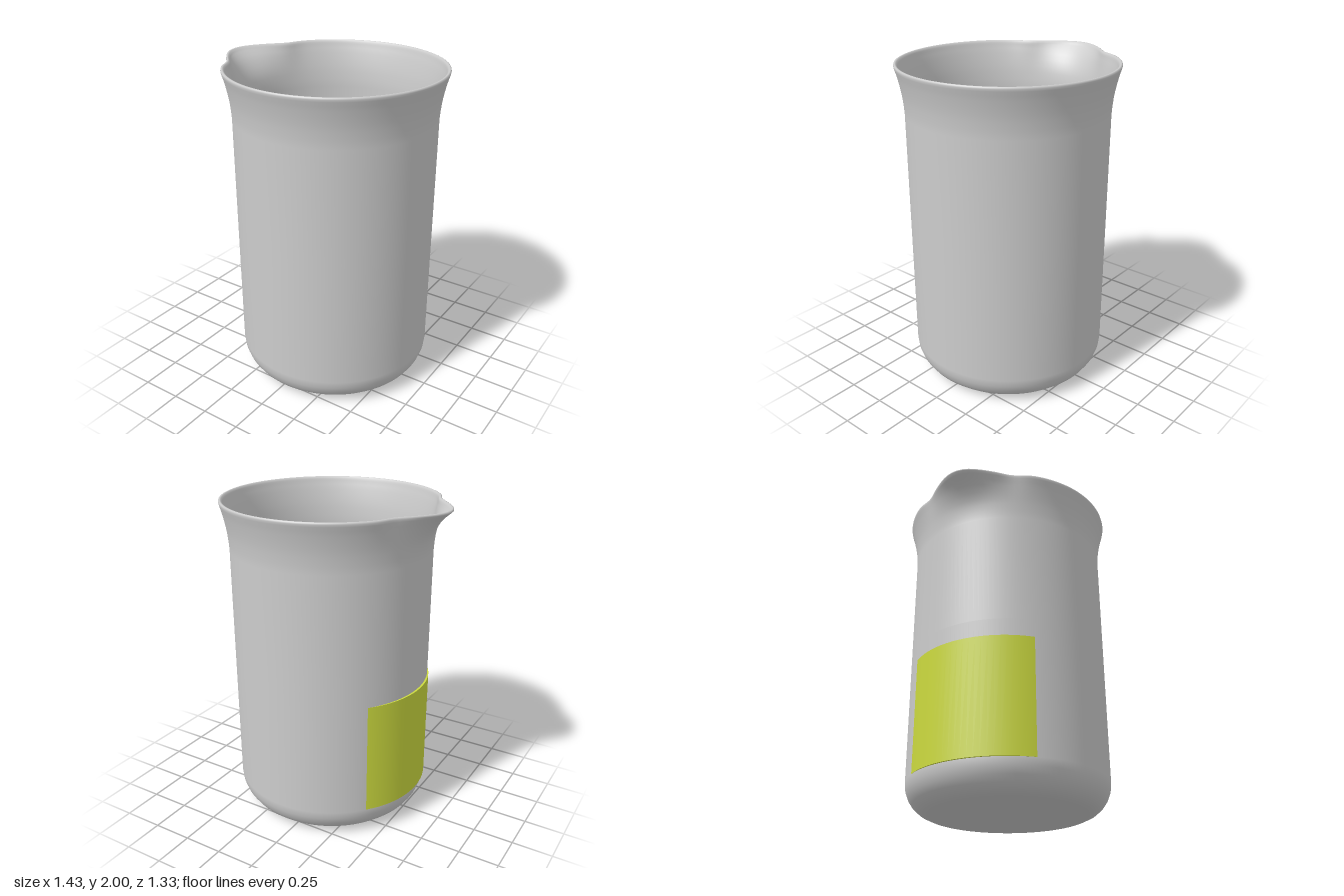
import * as THREE from 'three';
import { mergeVertices } from 'three/addons/utils/BufferGeometryUtils.js';

const CENTER_X = 0.05;

// Closed wall profile: underside, outer wall, rolled rim, inner wall, floor
function wallProfile() {
  const pts = [[0, 0], [0.25, 0], [0.44, 0]];
  const fillet = (cx, cy, rx, ry, from, to) => {
    for (let i = 0; i <= 6; i++) {
      const a = THREE.MathUtils.lerp(from, to, i / 6);
      pts.push([cx + rx * Math.cos(a), cy + ry * Math.sin(a)]);
    }
  };
  fillet(0.456, 0.18, 0.16, 0.18, -Math.PI / 2, 0);
  const flare = [[1.0, 0], [1.7, 0], [1.75, 0.003], [1.8, 0.008], [1.84, 0.014], [1.88, 0.022], [1.92, 0.031], [1.95, 0.039], [1.975, 0.047]];
  flare.forEach(([y, d]) => pts.push([0.616 + d, y]));
  pts.push([0.666, 1.988], [0.664, 1.997], [0.657, 2], [0.649, 1.997], [0.643, 1.985]);
  flare.slice().reverse().forEach(([y, d]) => pts.push([0.595 + d, y]));
  fillet(0.445, 0.18, 0.15, 0.155, 0, -Math.PI / 2);
  pts.push([0.25, 0.025], [0, 0.025]);
  return pts.map(([r, y]) => new THREE.Vector2(r, y));
}

// Pull the rim outward on the -x side to form the pouring spout
function addSpout(geometry) {
  const p = geometry.attributes.position;
  for (let i = 0; i < p.count; i++) {
    const x = p.getX(i), y = p.getY(i), z = p.getZ(i);
    const r = Math.hypot(x, z);
    if (y <= 1.72 || r === 0) continue;
    const angle = THREE.MathUtils.radToDeg(Math.abs(Math.atan2(z, -x)));
    const lift = Math.pow(Math.min((y - 1.72) / 0.27, 1), 2.7);
    const bump = 0.1 * Math.exp(-((angle / 15.4) ** 2)) - 0.018 * Math.exp(-(((angle - 27) / 7) ** 2));
    const k = (r + bump * lift) / r;
    p.setXYZ(i, x * k, y, z * k);
  }
}

export function createModel() {
  const model = new THREE.Group();
  model.name = 'beaker';

  const glass = new THREE.MeshStandardMaterial({ color: 0xcccccc });
  glass.name = 'grey glass';
  const fluid = new THREE.MeshStandardMaterial({ color: 0xccda3f });
  fluid.name = 'yellow green liquid';

  // Vessel with flared lip and spout
  let geometry = new THREE.LatheGeometry(wallProfile(), 128);
  addSpout(geometry);
  geometry.deleteAttribute('uv');
  geometry.deleteAttribute('normal');
  geometry = mergeVertices(geometry, 1e-5);
  geometry.computeVertexNormals();
  const vessel = new THREE.Mesh(geometry, glass);
  vessel.name = 'vessel';
  vessel.position.x = CENTER_X;
  model.add(vessel);

  // Liquid column, set slightly toward the spout side so it shows through the wall
  const liquid = new THREE.Mesh(new THREE.CylinderGeometry(0.578, 0.578, 0.71, 96), fluid);
  liquid.name = 'liquid';
  liquid.position.y = 0.535;
  model.add(liquid);

  return model;
}
